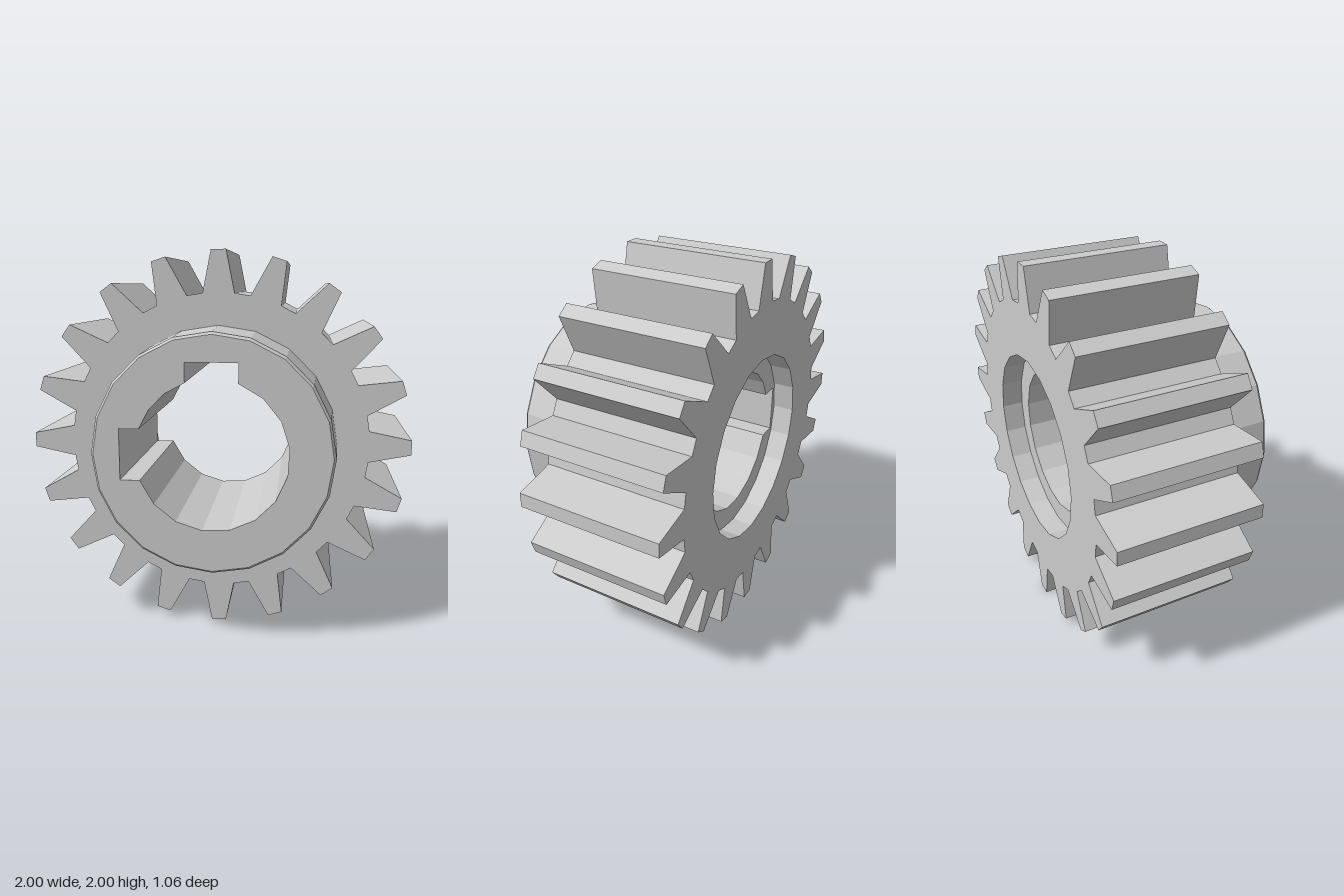
import * as THREE from 'three';

const TEETH = 20;
const BACK = -0.53, FLOOR = -0.417, FACE = 0.226, FRONT = 0.53;
const rad = THREE.MathUtils.degToRad;
const polar = (r, deg) => new THREE.Vector2(r * Math.cos(rad(deg)), r * Math.sin(rad(deg)));

// All outlines run anticlockwise as seen from the front.
function circle(r, sides = 20) {
  return Array.from({ length: sides }, (_, i) => polar(r, (i * 360) / sides));
}

function gearOutline() {
  const pts = [];
  for (let i = 0; i < TEETH; i++) {
    const a = (i * 360) / TEETH;
    pts.push(polar(0.786, a - 6), polar(1, a - 2.2), polar(1, a + 2.2), polar(0.786, a + 6));
  }
  return pts;
}

// Round bore with a keyway at the top and one on the right-hand side (-x).
function boreOutline() {
  const r = 0.383, half = 0.13, depth = 0.46;
  const edge = THREE.MathUtils.radToDeg(Math.asin(half / r));
  const pts = [];
  const arc = (from, to, steps) => {
    for (let i = 0; i <= steps; i++) pts.push(polar(r, from + ((to - from) * i) / steps));
  };
  arc(-180 + edge, 90 - edge, 11);
  pts.push(new THREE.Vector2(half, depth), new THREE.Vector2(-half, depth));
  arc(90 + edge, 180 - edge, 3);
  pts.push(new THREE.Vector2(-depth, half), new THREE.Vector2(-depth, -half));
  return pts;
}

// Wall joining two matching outlines at two depths.
function wall(ringA, zA, ringB, zB, inward = false) {
  const pos = [];
  const n = ringA.length;
  for (let i = 0; i < n; i++) {
    const j = (i + 1) % n;
    const a = [ringA[i].x, ringA[i].y, zA], b = [ringA[j].x, ringA[j].y, zA];
    const c = [ringB[j].x, ringB[j].y, zB], d = [ringB[i].x, ringB[i].y, zB];
    const quad = inward ? [a, c, b, a, d, c] : [a, b, c, a, c, d];
    pos.push(...quad.flat());
  }
  const geo = new THREE.BufferGeometry();
  geo.setAttribute('position', new THREE.Float32BufferAttribute(pos, 3));
  geo.computeVertexNormals();
  return geo;
}

// Flat ring between two outlines, facing the front or the back.
function cap(outer, inner, z, facesBack = false) {
  const shape = new THREE.Shape(outer);
  shape.holes.push(new THREE.Path(inner));
  const geo = new THREE.ShapeGeometry(shape);
  if (facesBack) {
    geo.setIndex(Array.from(geo.index.array).reverse());
    geo.computeVertexNormals();
  }
  geo.translate(0, 0, z);
  return geo;
}

export function createModel() {
  const material = new THREE.MeshStandardMaterial({ color: 0xcccccc, flatShading: true });
  const model = new THREE.Group();
  model.name = 'spurGear';
  const add = (name, geometry) => {
    const mesh = new THREE.Mesh(geometry, material);
    mesh.name = name;
    mesh.position.y = 1;
    model.add(mesh);
  };

  const gear = gearOutline();
  const bore = boreOutline();
  const recess = circle(0.5);
  const hubBase = circle(0.62), hubShoulder = circle(0.607), hubTip = circle(0.594);

  // Toothed wheel
  add('teeth', wall(gear, BACK, gear, FACE));
  add('wheelFrontFace', cap(gear, hubBase, FACE));
  add('wheelBackFace', cap(gear, recess, BACK, true));

  // Hub with a slight taper and a chamfered front edge
  add('hubSide', wall(hubBase, FACE, hubShoulder, 0.515));
  add('hubChamfer', wall(hubShoulder, 0.515, hubTip, FRONT));
  add('hubFrontFace', cap(hubTip, bore, FRONT));

  // Keyed bore and the wider recess at the back
  add('boreWall', wall(bore, FLOOR, bore, FRONT, true));
  add('recessWall', wall(recess, BACK, recess, FLOOR, true));
  add('recessFloor', cap(recess, bore, FLOOR, true));

  return model;
}
